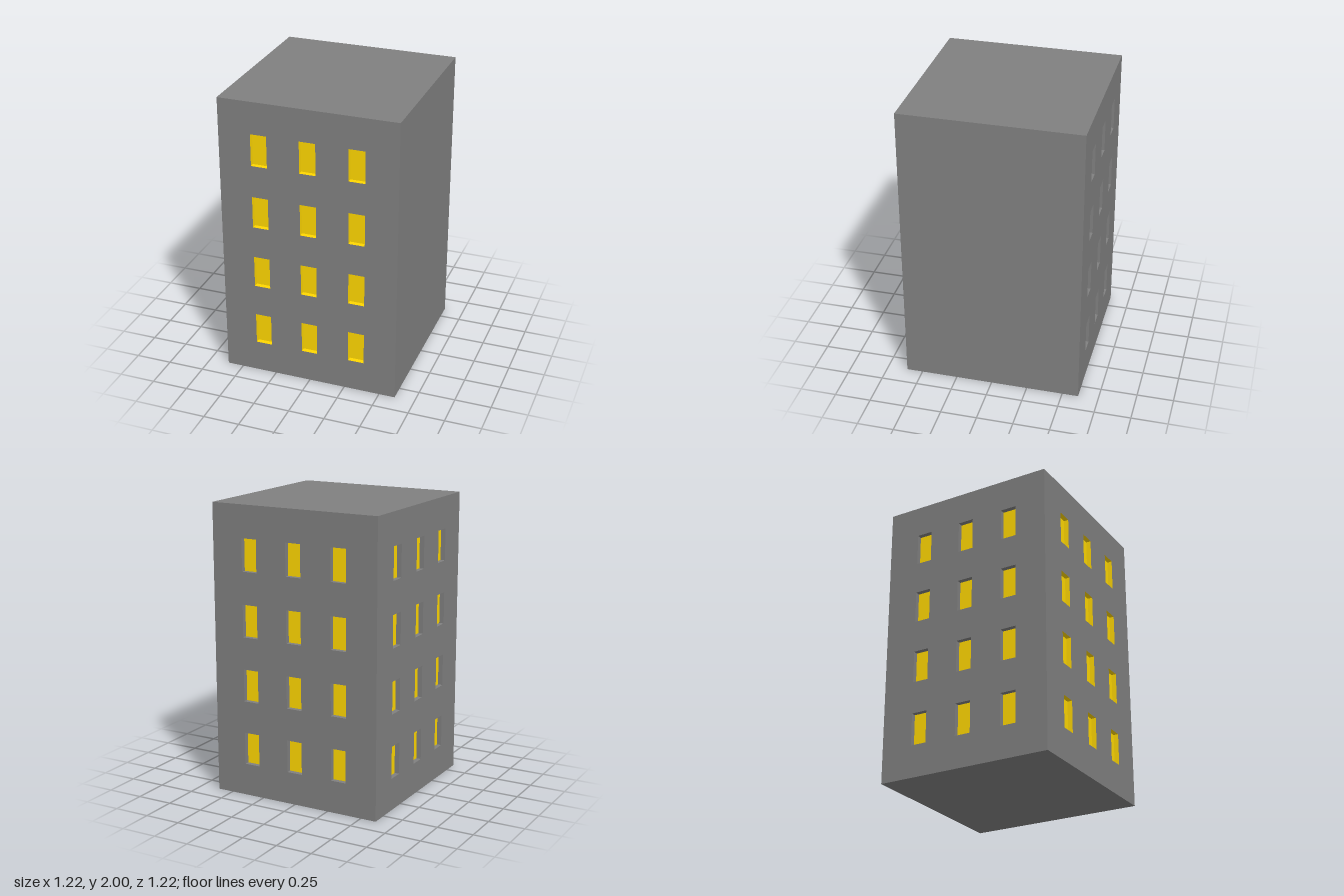
import * as THREE from 'three';
import { mergeGeometries } from 'three/addons/utils/BufferGeometryUtils.js';

const U = 2 / 18;                      // building module
const SIDE = 11 * U, HEIGHT = 18 * U;  // block size
const WIN_W = U, WIN_H = 2 * U, DEPTH = 0.3 * U;
const COLUMNS = [-3 * U, 0, 3 * U];
const ROWS = [3 * U, 7 * U, 11 * U, 15 * U];

const wallMaterial = new THREE.MeshStandardMaterial({ color: 0x808080 });
const windowMaterial = new THREE.MeshStandardMaterial({ color: 0xffd700 });

function mesh(name, geometry, material) {
  const m = new THREE.Mesh(geometry, material);
  m.name = name;
  return m;
}

function rectangle(target, x, y, w, h) {
  target.moveTo(x - w / 2, y - h / 2);
  target.lineTo(x + w / 2, y - h / 2);
  target.lineTo(x + w / 2, y + h / 2);
  target.lineTo(x - w / 2, y + h / 2);
  target.closePath();
  return target;
}

// Four inward-facing sides of one window recess
function revealGeometry() {
  const z = -DEPTH / 2;
  return mergeGeometries([
    new THREE.PlaneGeometry(DEPTH, WIN_H).rotateY(Math.PI / 2).translate(-WIN_W / 2, 0, z),
    new THREE.PlaneGeometry(DEPTH, WIN_H).rotateY(-Math.PI / 2).translate(WIN_W / 2, 0, z),
    new THREE.PlaneGeometry(WIN_W, DEPTH).rotateX(-Math.PI / 2).translate(0, -WIN_H / 2, z),
    new THREE.PlaneGeometry(WIN_W, DEPTH).rotateX(Math.PI / 2).translate(0, WIN_H / 2, z),
  ]);
}

// Wall with a grid of recessed windows, facing +z before it is turned
function windowedFacade(name, angle, revealMaterial) {
  const facade = new THREE.Group();
  facade.name = name;
  const outline = rectangle(new THREE.Shape(), 0, HEIGHT / 2, SIDE, HEIGHT);
  const reveal = revealGeometry();
  const pane = new THREE.PlaneGeometry(WIN_W, WIN_H).translate(0, 0, -DEPTH);
  for (const y of ROWS) {
    for (const x of COLUMNS) {
      outline.holes.push(rectangle(new THREE.Path(), x, y, WIN_W, WIN_H));
      const recess = new THREE.Group();
      recess.name = 'window';
      recess.position.set(x, y, SIDE / 2);
      recess.add(mesh('windowReveal', reveal, revealMaterial), mesh('windowPane', pane, windowMaterial));
      facade.add(recess);
    }
  }
  facade.add(mesh('wall', new THREE.ShapeGeometry(outline).translate(0, 0, SIDE / 2), wallMaterial));
  facade.rotation.y = angle;
  return facade;
}

export function createModel() {
  const building = new THREE.Group();
  building.name = 'apartmentBlock';

  // Three windowed sides; only the front has coloured reveals
  building.add(
    windowedFacade('frontFacade', 0, windowMaterial),
    windowedFacade('backFacade', Math.PI, wallMaterial),
    windowedFacade('rightFacade', -Math.PI / 2, wallMaterial),
  );

  // Blank side wall, roof and base
  const blank = new THREE.PlaneGeometry(SIDE, HEIGHT).rotateY(Math.PI / 2).translate(SIDE / 2, HEIGHT / 2, 0);
  const roof = new THREE.PlaneGeometry(SIDE, SIDE).rotateX(-Math.PI / 2).translate(0, HEIGHT, 0);
  const base = new THREE.PlaneGeometry(SIDE, SIDE).rotateX(Math.PI / 2);
  building.add(
    mesh('leftBlankWall', blank, wallMaterial),
    mesh('roof', roof, wallMaterial),
    mesh('base', base, wallMaterial),
  );
  return building;
}
